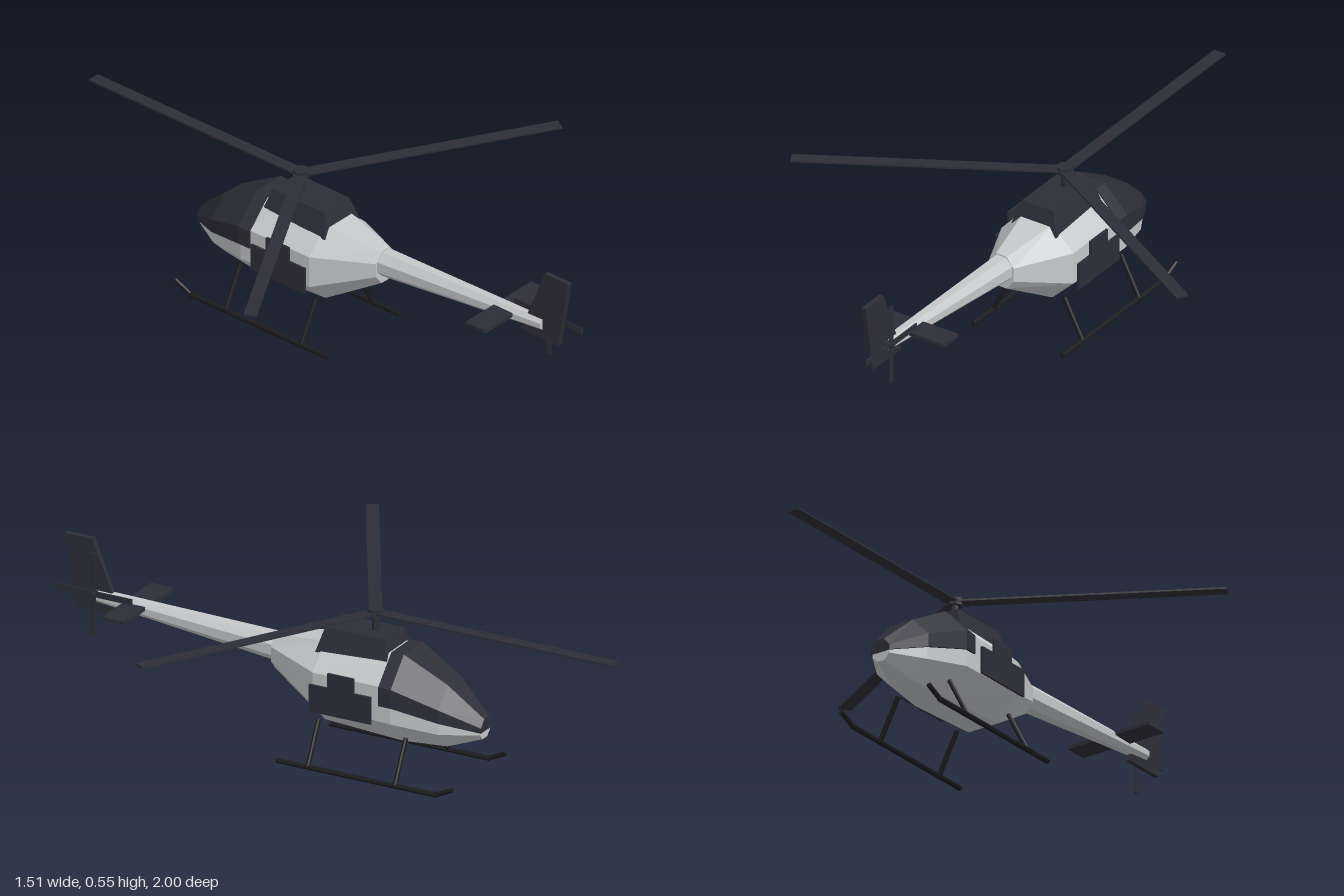
import * as THREE from 'three';

export function createModel() {
  const root = new THREE.Group();
  root.name = 'helicopter';
  const mat = (name, color) => {
    const m = new THREE.MeshStandardMaterial({ color });
    m.name = name;
    return m;
  };
  const grey = mat('light grey hull', 0xc6c8ca);
  const dark = mat('dark slate', 0x2e2e38);
  const black = mat('black metal', 0x1c1c20);

  const add = (name, geo, material, parent = root) => {
    const g = geo.index ? geo.toNonIndexed() : geo;
    g.computeVertexNormals(); // faceted look
    const m = new THREE.Mesh(g, material);
    m.name = name;
    parent.add(m);
    return m;
  };
  const box = (name, w, h, d, x, y, z, material, parent) =>
    add(name, new THREE.BoxGeometry(w, h, d).translate(x, y, z), material, parent);

  // Straight round bar between two points
  const bar = (name, a, b, r, material, parent, sides = 8) => {
    const p = new THREE.Vector3(...a), q = new THREE.Vector3(...b);
    const dir = q.clone().sub(p);
    const g = new THREE.CylinderGeometry(r, r, dir.length(), sides);
    g.applyQuaternion(new THREE.Quaternion().setFromUnitVectors(
      new THREE.Vector3(0, 1, 0), dir.normalize()));
    const c = p.add(q).multiplyScalar(0.5);
    return add(name, g.translate(c.x, c.y, c.z), material, parent);
  };

  // Skin a unit outline over sections [z, centreY, halfWidth, halfHeight], z falling
  const loft = (outline, sections) => {
    const rings = sections.map(([z, cy, rx, ry]) =>
      outline.map(([x, y]) => [x * rx, cy + y * ry, z]));
    const pos = [], n = outline.length;
    const tri = (a, b, c) => pos.push(...a, ...b, ...c);
    for (let i = 0; i < rings.length - 1; i++) {
      for (let j = 0; j < n; j++) {
        const k = (j + 1) % n, s = rings[i], t = rings[i + 1];
        tri(s[j], t[j], t[k]);
        tri(s[j], t[k], s[k]);
      }
    }
    const first = rings[0], last = rings[rings.length - 1];
    for (let j = 1; j < n - 1; j++) {
      tri(first[0], first[j], first[j + 1]);
      tri(last[0], last[j + 1], last[j]);
    }
    const g = new THREE.BufferGeometry();
    g.setAttribute('position', new THREE.Float32BufferAttribute(pos, 3));
    return g;
  };
  const k = Math.SQRT2 - 1;
  const octagon = [[1, -k], [1, k], [k, 1], [-k, 1], [-1, k], [-1, -k], [-k, -1], [k, -1]];
  const upperHalf = [[1, 0], [1, k], [k, 1], [-k, 1], [-1, k], [-1, 0]];

  // Hull, tail boom and canopy
  add('fuselage', loft(octagon, [
    [0.21, 0.307, 0.047, 0.058],
    [0.01, 0.263, 0.137, 0.133],
    [-0.27, 0.26, 0.14, 0.145],
    [-0.42, 0.222, 0.098, 0.102],
    [-0.533, 0.191, 0.033, 0.033],
  ]), grey);
  add('tailBoom', loft(octagon, [
    [0.865, 0.357, 0.02, 0.019],
    [0.2, 0.317, 0.042, 0.044],
  ]), grey);
  add('canopy', loft(upperHalf, [
    [-0.23, 0.256, 0.145, 0.152],
    [-0.275, 0.256, 0.145, 0.154],
    [-0.423, 0.22, 0.104, 0.11],
    [-0.539, 0.186, 0.037, 0.042],
  ]), dark);

  // Engine housing, narrowed towards the top
  const housing = new THREE.BoxGeometry(0.17, 0.08, 0.26);
  const hp = housing.attributes.position;
  for (let i = 0; i < hp.count; i++) {
    if (hp.getY(i) > 0) hp.setXYZ(i, hp.getX(i) * 0.7, hp.getY(i), hp.getZ(i) * 0.83);
  }
  add('engineHousing', housing.translate(0, 0.405, -0.1), dark);

  // Stepped side doors and landing skids
  for (const s of [1, -1]) {
    const side = s > 0 ? 'left' : 'right';
    box(side + 'Door', 0.008, 0.092, 0.222, s * 0.156, 0.24, -0.1, dark);
    box(side + 'DoorWindow', 0.008, 0.05, 0.094, s * 0.156, 0.311, -0.102, dark);

    const skid = new THREE.Group();
    skid.name = side + 'Skid';
    root.add(skid);
    const x = s * 0.17;
    bar('skidRail', [x, 0.009, 0.12], [x, 0.009, -0.455], 0.009, black, skid);
    bar('skidTip', [x, 0.009, -0.45], [x, 0.037, -0.512], 0.008, black, skid);
    for (const z of [0.008, -0.305]) {
      bar('skidLeg', [s * 0.1, 0.147, z], [x, 0.01, z], 0.008, black, skid);
    }
  }

  // Main rotor
  const rotor = new THREE.Group();
  rotor.name = 'mainRotor';
  rotor.position.set(0, 0.505, -0.14);
  root.add(rotor);
  bar('mast', [0, -0.07, 0], [0, 0.012, 0], 0.012, dark, rotor);
  bar('hub', [0, -0.012, 0], [0, 0.012, 0], 0.026, dark, rotor);
  for (let i = 0; i < 3; i++) {
    box('blade', 0.042, 0.006, 0.86, 0, 0, -0.43, dark, rotor).rotation.y = i * Math.PI * 2 / 3;
  }

  // Swept tail fin, drawn as (-z, y) and turned into the side plane
  const fin = new THREE.Shape([[-0.973, 0.548], [-0.93, 0.305], [-0.775, 0.305], [-0.873, 0.548]]
    .map(p => new THREE.Vector2(...p)));
  add('tailFin', new THREE.ExtrudeGeometry(fin, { depth: 0.016, bevelEnabled: false })
    .translate(0, 0, -0.008).rotateY(Math.PI / 2), dark);
  box('stabilizer', 0.316, 0.012, 0.08, 0, 0.355, 0.715, dark);

  // Tail rotor
  const tail = new THREE.Group();
  tail.name = 'tailRotor';
  tail.position.set(0.028, 0.37, 0.86);
  root.add(tail);
  bar('tailHub', [-0.024, 0, 0], [0.01, 0, 0], 0.01, dark, tail);
  for (let i = 0; i < 4; i++) {
    box('tailBlade', 0.004, 0.14, 0.02, 0, 0.07, 0, dark, tail).rotation.x = i * Math.PI / 2;
  }
  for (const m of tail.children) m.updateMatrix();

  return root;
}
